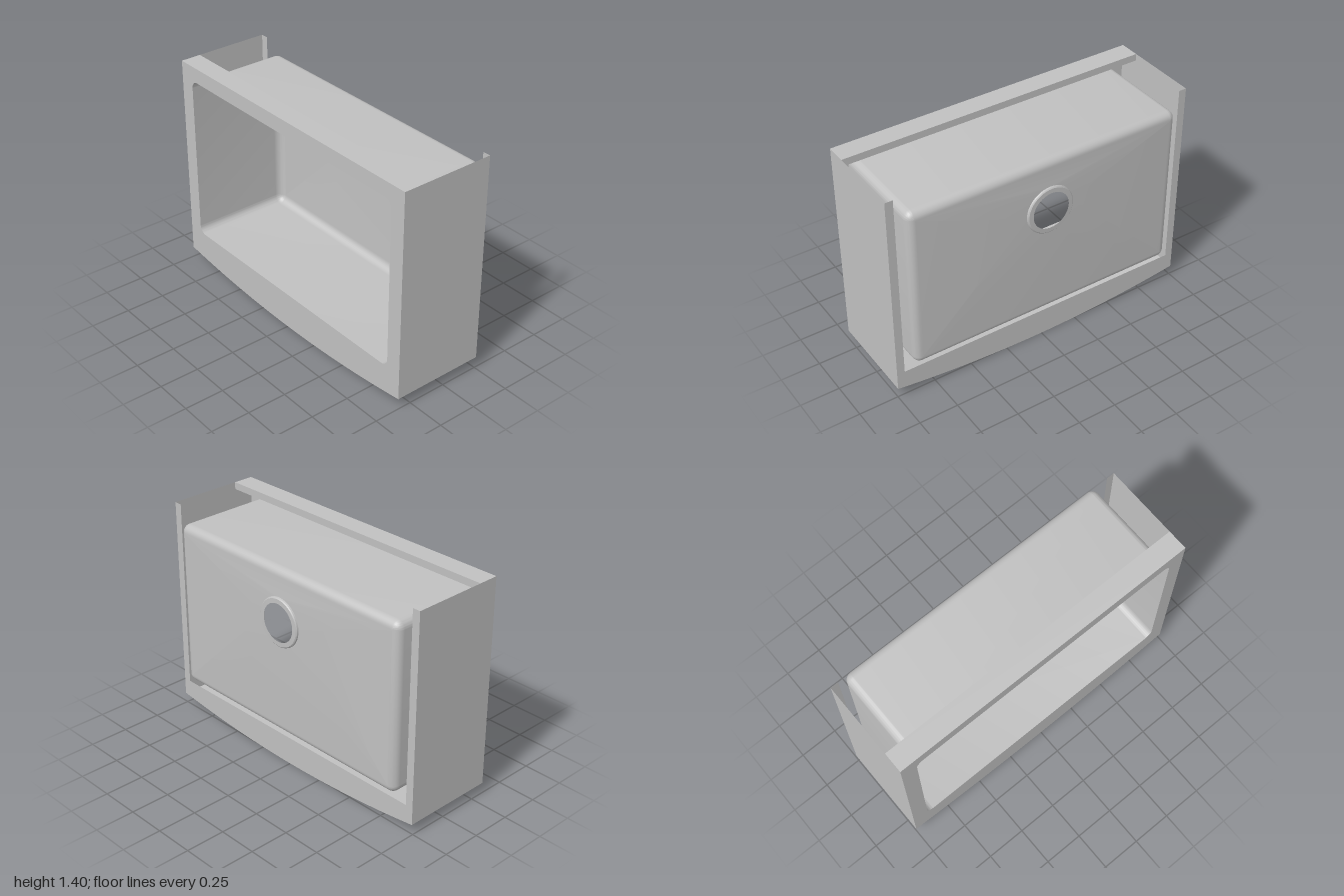
import * as THREE from 'three';
import { toCreasedNormals } from 'three/addons/utils/BufferGeometryUtils.js';

const FRONT = 0.34, BACK = -0.26, TOP = 1.4;
const CORNER = 0.05, STEPS = 12;
const BOWL = { x: 0.9, y: 0.535, cy: 0.77 };
const DRAIN_Y = 0.985;

// Ring of points made of four quarter arcs; a rounded rectangle when halfX / halfY exceed r
function ring(halfX, halfY, r, cy, z) {
  const points = [];
  for (let q = 0; q < 4; q++) {
    const sx = q === 0 || q === 3 ? 1 : -1, sy = q < 2 ? 1 : -1;
    for (let i = 0; i <= STEPS; i++) {
      const a = (q + i / STEPS) * Math.PI / 2;
      points.push(new THREE.Vector3(
        sx * (halfX - r) + r * Math.cos(a), cy + sy * (halfY - r) + r * Math.sin(a), z));
    }
  }
  return points;
}

const bowlRing = (inset, z) =>
  ring(BOWL.x - inset, BOWL.y - inset, Math.max(CORNER - inset, 0.004), BOWL.cy, z);
const drainRing = (r, z) => ring(r, r, r, DRAIN_Y, z);

// Skin between successive rows of points
function loft(rows, closed) {
  const n = rows[0].length, index = [];
  for (let i = 0; i < rows.length - 1; i++) {
    for (let j = 0; j < (closed ? n : n - 1); j++) {
      const k = (j + 1) % n;
      const a = i * n + j, b = i * n + k, c = a + n, d = b + n;
      index.push(a, b, c, b, d, c);
    }
  }
  const geometry = new THREE.BufferGeometry().setFromPoints(rows.flat());
  geometry.setIndex(index);
  return toCreasedNormals(geometry, 0.45);
}

// Shallow bowed lower edge, from left to right
function bowedEdge() {
  const sag = 0.07, R = (1 + sag * sag) / (2 * sag), points = [];
  for (let i = 0; i <= 32; i++) {
    const x = -1 + i / 16;
    points.push(new THREE.Vector2(x, R - Math.sqrt(R * R - x * x)));
  }
  return points;
}

export function createModel() {
  const model = new THREE.Group();
  model.name = 'apronSink';
  const steel = new THREE.MeshStandardMaterial({ color: 0xc0c0c0, side: THREE.DoubleSide });
  steel.name = 'steel';

  const add = (name, geometry, z = 0) => {
    const mesh = new THREE.Mesh(geometry, steel);
    mesh.name = name;
    mesh.position.z = z;
    model.add(mesh);
  };
  const v2 = (x, y) => new THREE.Vector2(x, y);
  const strip = (points, z0, z1) =>
    loft([z0, z1].map(z => points.map(p => new THREE.Vector3(p.x, p.y, z))), false);

  const edge = bowedEdge();

  // Front rim with the bowl opening
  const rim = new THREE.Shape([...edge, v2(1, TOP), v2(-1, TOP)]);
  rim.holes.push(new THREE.Path(bowlRing(0, 0).map(p => v2(p.x, p.y)).reverse()));
  add('frontRim', new THREE.ShapeGeometry(rim), FRONT);

  // Bowed apron and the two side walls
  add('apron', strip(edge, BACK, FRONT));
  add('leftWall', strip([edge[32], v2(1, TOP)], BACK, FRONT));
  add('rightWall', strip([v2(-1, TOP), edge[0]], BACK, FRONT));

  // Top flange with its folded lip
  add('topFlange', strip([v2(1, TOP), v2(-1, TOP)], 0.21, FRONT));
  const lip = new THREE.PlaneGeometry(2, 0.045);
  lip.rotateY(Math.PI);
  lip.translate(0, TOP - 0.0225, 0);
  add('topLip', lip, 0.21);

  // U-shaped return along the back edges
  const backFrame = new THREE.Shape([...edge, v2(1, TOP), v2(0.95, TOP), v2(0.95, 0.18),
    v2(-0.95, 0.18), v2(-0.95, TOP), v2(-1, TOP)]);
  add('backReturn', new THREE.ShapeGeometry(backFrame), BACK);

  // Bowl: straight walls, rounded bottom edge, floor sloping to the drain
  const rows = [bowlRing(0, FRONT), bowlRing(0, -0.255)];
  for (let i = 0; i <= 8; i++) {
    const a = i / 8 * Math.PI / 2;
    rows.push(bowlRing(0.05 * (1 - Math.cos(a)), -0.26 - 0.05 * Math.sin(a)));
  }
  rows.push(drainRing(0.156, -0.325));
  add('bowl', loft(rows, true));

  // Stepped drain seat with an open hole
  add('drainSeat', loft([
    drainRing(0.156, -0.325), drainRing(0.154, -0.334), drainRing(0.148, -0.339),
    drainRing(0.12, -0.34)], true));

  return model;
}
